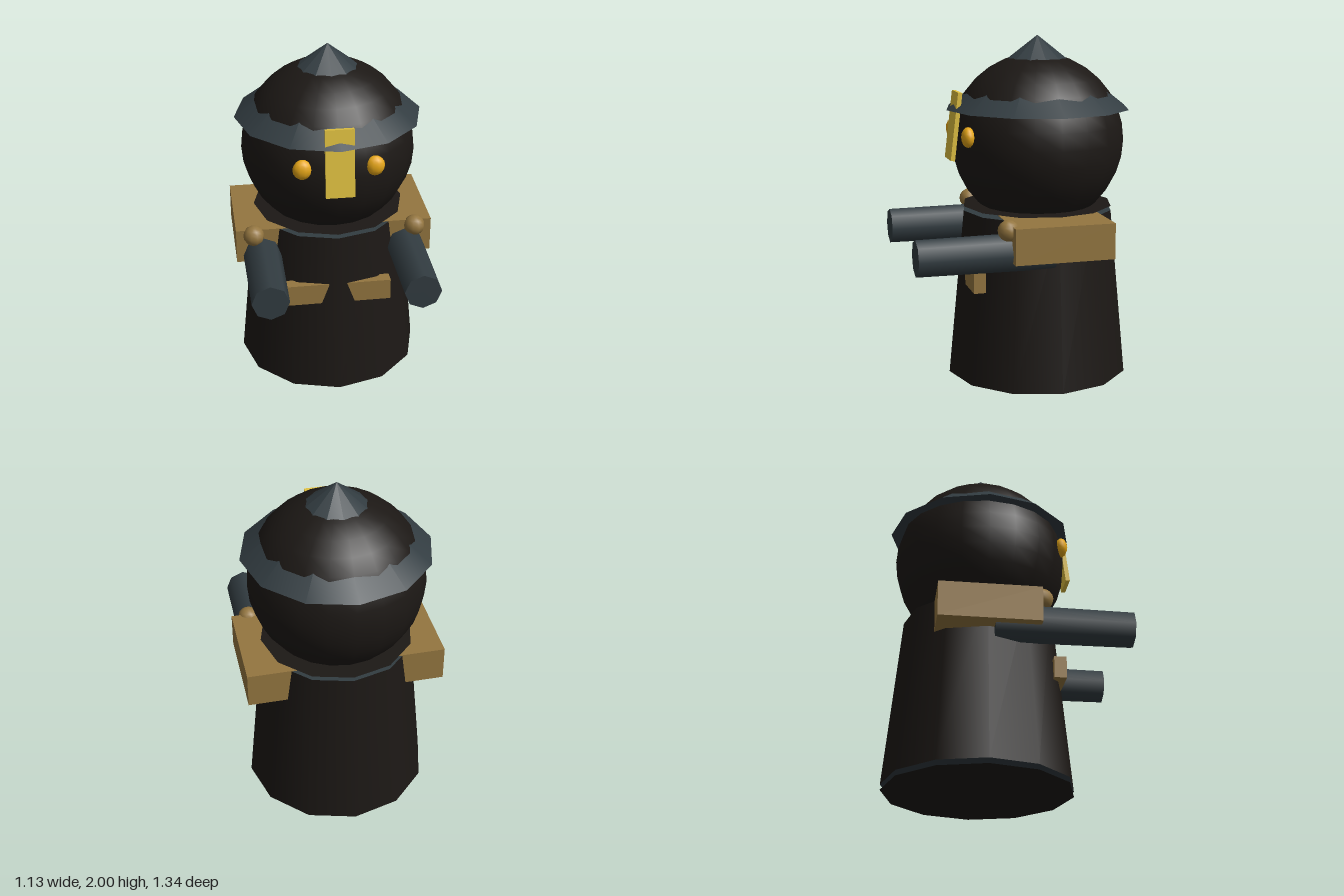
import * as THREE from 'three';

const mat = (color, extra = {}) => new THREE.MeshStandardMaterial({ color, ...extra });

export function createModel() {
  const model = new THREE.Group();
  const black = mat(0x1c1815);
  const slate = mat(0x323c41);
  const tan = mat(0x947640);
  const yellow = mat(0xe0c040);
  const amber = mat(0xe8a818);
  const axisZ = -0.135; // body, head and hat share this vertical axis

  const add = (name, geometry, material, x, y, z) => {
    const mesh = new THREE.Mesh(geometry, material);
    mesh.name = name;
    mesh.position.set(x, y, z);
    model.add(mesh);
    return mesh;
  };

  // Tapered robe with slate end caps
  add('body', new THREE.CylinderGeometry(0.44, 0.535, 0.97, 12), [black, slate, slate], 0, 0.515, axisZ);

  // Thin dark covers set just off each end cap; the ring between stays slate.
  // The -PI/2 turn about the axis lines their corners up with the body's.
  add('collarCover', new THREE.CircleGeometry(0.44, 12), black, 0, 1.025, axisZ).rotation.x = -Math.PI / 2;
  add('baseCover', new THREE.CircleGeometry(0.535, 12), black, 0, 0, axisZ).rotation.x = Math.PI / 2;

  // Head and the wide conical hat it pokes through
  add('head', new THREE.SphereGeometry(0.5, 20, 16), black, 0, 1.4, axisZ);
  add('hat', new THREE.ConeGeometry(0.535, 0.415, 12), slate, 0, 1.7925, axisZ);

  // Tilted face plate
  add('facePlate', new THREE.BoxGeometry(0.16, 0.387, 0.025), yellow, 0, 1.4975, 0.36).rotation.x = -0.12;

  // Shoulder bar and belt bar run through the body
  add('shoulders', new THREE.BoxGeometry(1.13, 0.203, 0.57), tan, 0, 0.9015, axisZ);
  add('belt', new THREE.BoxGeometry(0.61, 0.125, 0.07), tan, 0, 0.6475, 0.285);

  // Paired parts
  for (const [side, s] of [['left', 1], ['right', -1]]) {
    add(side + 'Eye', new THREE.SphereGeometry(1, 10, 8), amber, s * 0.2, 1.455, 0.322).scale.set(0.054, 0.058, 0.038);
    add(side + 'Arm', new THREE.CylinderGeometry(0.104, 0.111, 0.77, 8), slate, s * 0.418, 0.84, 0.285).rotation.x = Math.PI / 2;
    add(side + 'Knob', new THREE.SphereGeometry(0.06, 10, 8), tan, s * 0.465, 0.975, 0.163);
  }
  return model;
}
